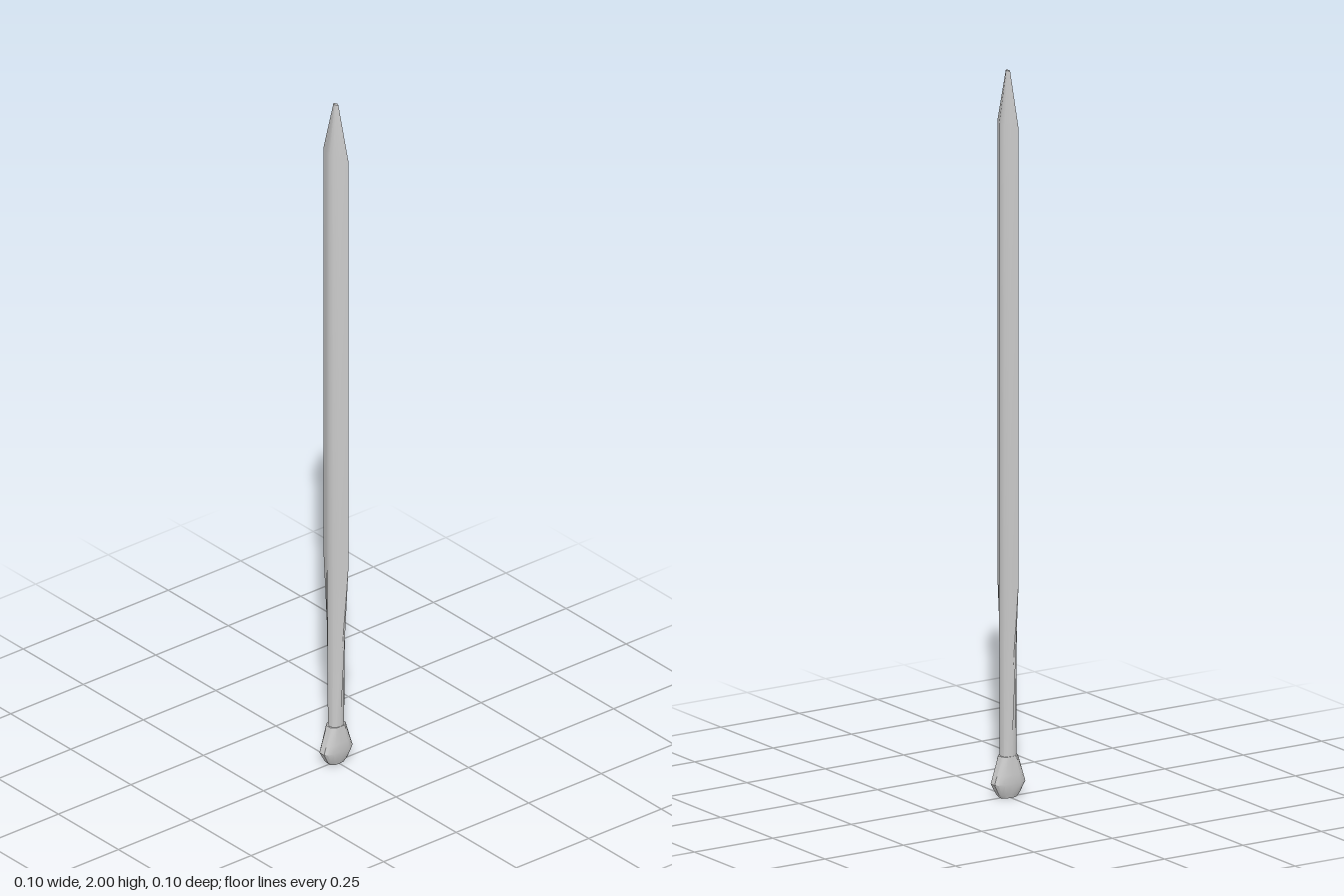
import * as THREE from 'three';
import { toCreasedNormals } from 'three/addons/utils/BufferGeometryUtils.js';

// Mirror a quarter outline (from the +x side to the +z side) into a closed ring
function ring(quarter) {
  const half = [...quarter];
  for (const [x, z] of [...quarter].reverse()) if (x > 0) half.push([-x, z]);
  const full = [...half];
  for (const [x, z] of [...half].reverse()) if (z > 0) full.push([x, -z]);
  return full;
}

// Skin a stack of { y, points } rings and cap both ends
function loft(sections, crease) {
  const n = sections[0].points.length, pos = [], idx = [];
  for (const { y, points } of sections) for (const [x, z] of points) pos.push(x, y, z);
  for (let s = 0; s < sections.length - 1; s++) {
    for (let i = 0; i < n; i++) {
      const a = s * n + i, b = s * n + (i + 1) % n;
      idx.push(a, a + n, b, b, a + n, b + n);
    }
  }
  const top = (sections.length - 1) * n;
  for (let i = 1; i < n - 1; i++) {
    idx.push(0, i, i + 1);
    idx.push(top, top + i + 1, top + i);
  }
  const g = new THREE.BufferGeometry();
  g.setAttribute('position', new THREE.Float32BufferAttribute(pos, 3));
  g.setIndex(idx);
  return toCreasedNormals(g, crease);
}

export function createModel() {
  const group = new THREE.Group();
  const material = new THREE.MeshStandardMaterial({ color: 0xcccccc });
  const add = (name, geometry) => {
    const mesh = new THREE.Mesh(geometry, material);
    mesh.name = name;
    group.add(mesh);
  };

  // Shaft: oval grip flowing into a two-edged body with a tapered tip
  const grip = [[0.023, 0], [0.02, 0.01], [0.012, 0.017], [0, 0.02]];
  const edged = [[0.023, 0], [0.02, 0.013], [0.012, 0.028], [0, 0.051]];
  const blend = (t, sx = 1, sz = 1) => ring(grip.map(([x, z], i) =>
    [x * sx, (z + (edged[i][1] - z) * t) * sz]));
  add('shaft', loft([
    { y: 0.09, points: blend(0) },
    { y: 0.14, points: blend(0) },
    { y: 0.60, points: blend(1) },
    { y: 1.85, points: blend(1) },
    { y: 2.00, points: blend(1, 0.2, 0.2) },
  ], 0.6));

  // Pommel: faceted knob, wide across x
  const knob = (hx, hz) => ring([[hx, hz * 0.4], [hx * 0.85, hz * 0.7], [hx * 0.55, hz], [0, hz]]);
  add('pommel', loft([
    { y: 0, points: knob(0.024, 0.014) },
    { y: 0.01, points: knob(0.033, 0.018) },
    { y: 0.04, points: knob(0.049, 0.024) },
    { y: 0.065, points: knob(0.041, 0.023) },
    { y: 0.115, points: knob(0.026, 0.02) },
  ], 0.6));

  return group;
}
